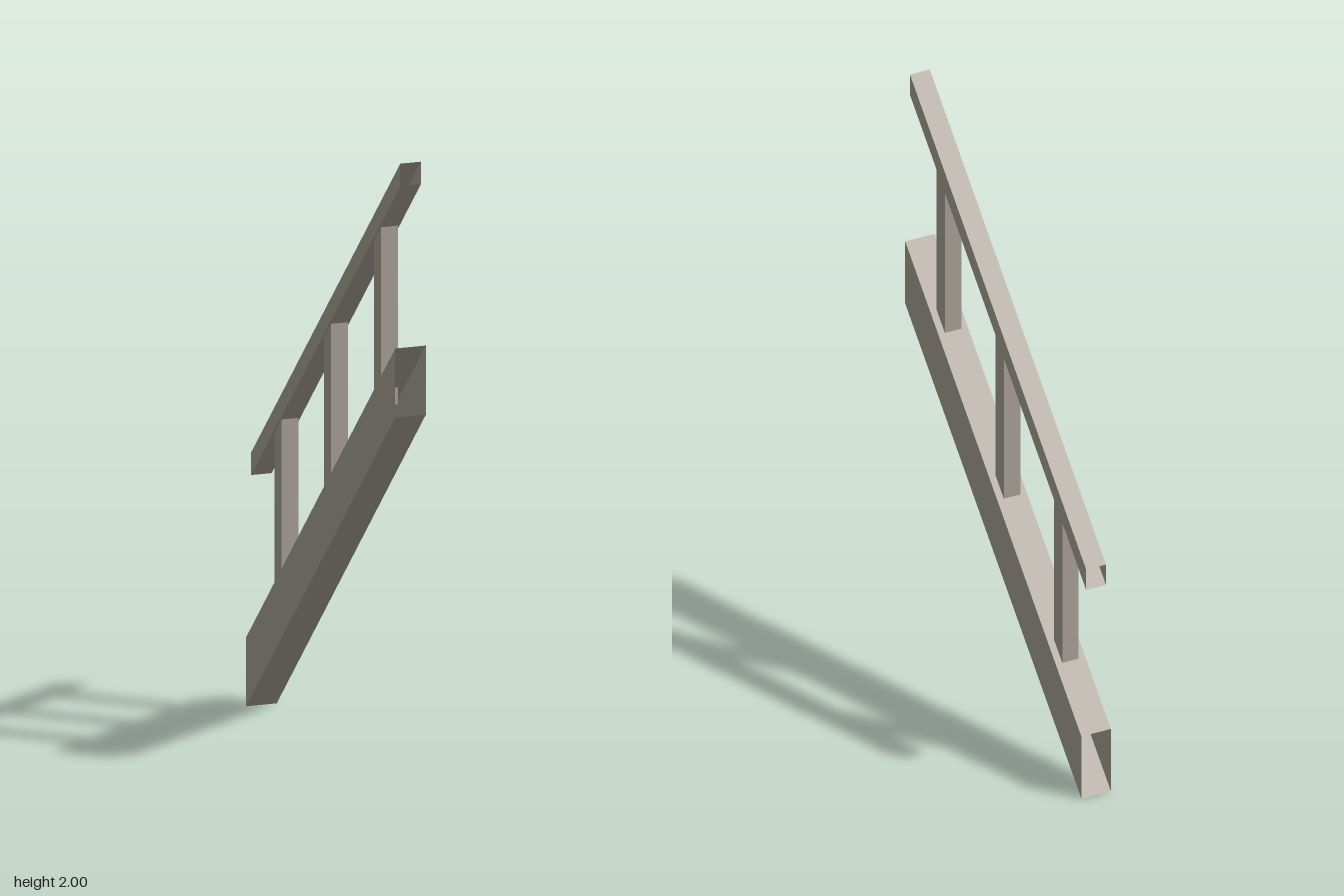
import * as THREE from 'three';

const LENGTH = 1.186; // run along z; the slope rises 1:1 towards +z

// Open-ended rectangular tube, sheared so that it climbs at 45 degrees with plumb ends
function slopedTube(width, height, centreY) {
  const geo = new THREE.BoxGeometry(width, height, LENGTH);
  geo.setIndex(Array.from(geo.index.array).slice(0, 24)); // keep the four long sides
  geo.clearGroups();
  const p = geo.attributes.position;
  for (let i = 0; i < p.count; i++) p.setY(i, p.getY(i) + p.getZ(i) + centreY);
  geo.computeVertexNormals();
  return geo;
}

export function createModel() {
  const group = new THREE.Group();
  const stone = new THREE.MeshStandardMaterial({ color: 0xaaa399, side: THREE.DoubleSide });
  stone.name = 'warm grey';

  const add = (name, geo) => {
    const mesh = new THREE.Mesh(geo, stone);
    mesh.name = name;
    group.add(mesh);
    return mesh;
  };

  // Wide base beam and slim handrail
  add('baseBeam', slopedTube(0.104, 0.222, 0.704));
  add('handrail', slopedTube(0.07, 0.073, 1.3705));

  // Upright posts, their ends tucked just inside the beam and the rail
  const depth = 0.055;
  const beamTop = 0.815, railBottom = 1.334; // heights at z = 0
  [0.397, 0, -0.393].forEach((z, i) => {
    const low = beamTop + z - depth / 2;
    const high = railBottom + z + depth / 2;
    const post = add('post' + (i + 1), new THREE.BoxGeometry(0.058, high - low, depth));
    post.position.set(0, (low + high) / 2, z);
  });

  return group;
}
